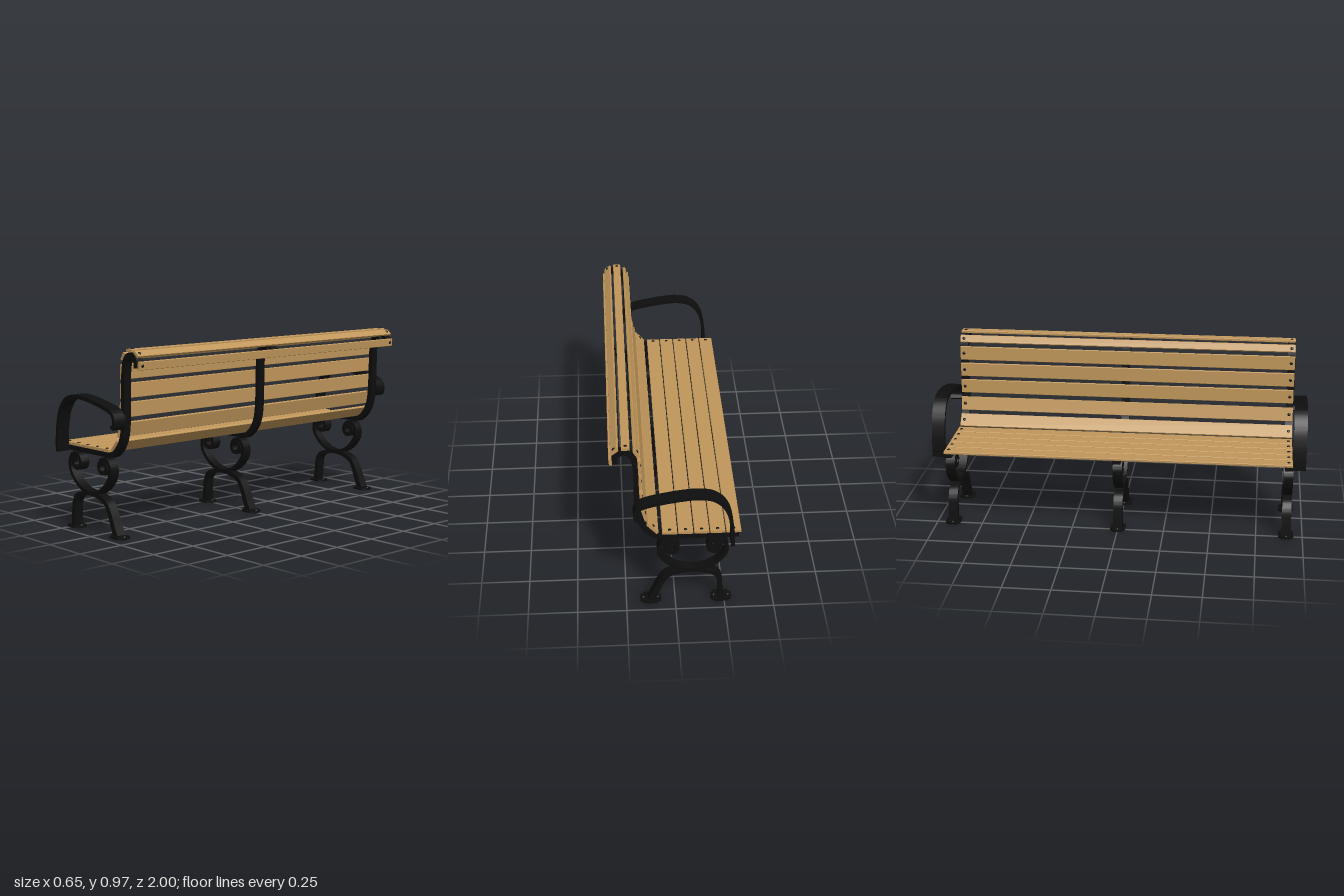
import * as THREE from 'three';
import { toCreasedNormals } from 'three/addons/utils/BufferGeometryUtils.js';

const wood = new THREE.MeshStandardMaterial({ color: 0xc0965a });
wood.name = 'wood';
const iron = new THREE.MeshStandardMaterial({ color: 0x0e0e0e });
iron.name = 'black iron';

// Shape extruded along z, centred on z = 0
function extrude(shape, depth) {
  const g = new THREE.ExtrudeGeometry(shape, { depth, bevelEnabled: false });
  g.translate(0, 0, -depth / 2);
  return toCreasedNormals(g, 0.6);
}

// Flat bar following a smooth path in the xy plane; thickness runs from t0 to t1
function ribbon(points, t0, t1, depth, steps = 60) {
  const curve = new THREE.CatmullRomCurve3(points.map(([x, y]) => new THREE.Vector3(x, y, 0)), false, 'centripetal');
  const left = [], right = [];
  for (let i = 0; i <= steps; i++) {
    const u = i / steps, p = curve.getPointAt(u), d = curve.getTangentAt(u);
    const h = (t0 + (t1 - t0) * u) / 2;
    left.push(new THREE.Vector2(p.x - d.y * h, p.y + d.x * h));
    right.unshift(new THREE.Vector2(p.x + d.y * h, p.y - d.x * h));
  }
  return extrude(new THREE.Shape([...left, ...right]), depth);
}

// Rectangle with cut corners
function chamferedRect(w, h, c) {
  const a = w / 2, b = h / 2;
  return new THREE.Shape([[-a + c, -b], [a - c, -b], [a, -b + c], [a, b - c], [a - c, b], [-a + c, b], [-a, b - c], [-a, -b + c]]
    .map(([x, y]) => new THREE.Vector2(x, y)));
}

function add(parent, name, geometry, material, x = 0, y = 0, z = 0) {
  const m = new THREE.Mesh(geometry, material);
  m.name = name;
  m.position.set(x, y, z);
  parent.add(m);
  return m;
}

// Seat and back rail paths
const backPath = [[0.02, 0.418], [0.085, 0.418], [0.125, 0.442], [0.157, 0.48], [0.178, 0.53], [0.188, 0.6], [0.192, 0.75],
  [0.197, 0.86], [0.212, 0.912], [0.242, 0.935], [0.275, 0.927], [0.291, 0.905], [0.292, 0.873]];
// Scroll from the crossing point outward and curling in, as offsets from the crossing
const scroll = [[0, 0.2], [0.07, 0.216], [0.13, 0.258], [0.166, 0.31], [0.165, 0.362], [0.135, 0.391], [0.098, 0.385],
  [0.077, 0.353], [0.09, 0.323], [0.12, 0.321], [0.139, 0.343], [0.132, 0.366], [0.106, 0.366]];
const midX = -0.087;
const frontLeg = [[midX, 0.2], [-0.15, 0.19], [-0.2, 0.172], [-0.222, 0.14], [-0.229, 0.09], [-0.234, 0.008]];
const rearLeg = [[midX, 0.2], [-0.02, 0.193], [0.045, 0.165], [0.075, 0.12], [0.1, 0.06], [0.123, 0.008]];
const armPath = [[-0.28, 0.4], [-0.279, 0.46], [-0.271, 0.54], [-0.253, 0.61], [-0.22, 0.662], [-0.175, 0.692], [-0.11, 0.703],
  [-0.02, 0.696], [0.08, 0.678], [0.15, 0.66], [0.185, 0.642], [0.2, 0.612], [0.199, 0.588], [0.189, 0.573], [0.178, 0.585]];

// Slats: centre x, centre y, tilt in degrees, width
const slats = [];
for (let i = 0; i < 5; i++) slats.push([-0.29 + i * 0.0797, 0.438, 0, 0.075]);
slats.push([0.114, 0.469, 48, 0.076], [0.155, 0.556, 75, 0.076], [0.169, 0.655, 88, 0.076], [0.173, 0.751, 90, 0.076],
  [0.176, 0.846, 88, 0.076], [0.19, 0.925, 60, 0.042], [0.24, 0.956, 0, 0.042], [0.293, 0.941, -38, 0.042], [0.314, 0.886, -95, 0.042]);

export function createModel() {
  const bench = new THREE.Group();
  bench.name = 'bench';

  const bolt = new THREE.SphereGeometry(0.009, 12, 6, 0, Math.PI * 2, 0, Math.PI / 2);
  const mirrored = scroll.map(([x, y]) => [midX - x, y]);
  const parts = {
    seatRail: extrude(chamferedRect(0.395, 0.025, 0.002), 0.042).translate(-0.118, 0.418, 0),
    backRail: ribbon(backPath, 0.025, 0.025, 0.042, 80),
    rearScroll: ribbon(scroll.map(([x, y]) => [midX + x, y]), 0.019, 0.022, 0.05, 80),
    frontScroll: ribbon(mirrored, 0.019, 0.022, 0.05, 80),
    frontLeg: ribbon(frontLeg, 0.019, 0.03, 0.05, 40),
    rearLeg: ribbon(rearLeg, 0.019, 0.036, 0.05, 40),
  };
  const foot = extrude(chamferedRect(0.106, 0.08, 0.022), 0.01).rotateX(-Math.PI / 2);

  // Three iron frames: both ends and the middle
  for (const z of [-0.912, 0, 0.912]) {
    const frame = new THREE.Group();
    frame.name = 'ironFrame';
    frame.position.z = z;
    for (const [name, g] of Object.entries(parts)) add(frame, name, g, iron);
    for (const x of [-0.234, 0.126]) {
      add(frame, 'foot', foot, iron, x, 0.005);
      for (const s of [-1, 1]) add(frame, 'footBolt', bolt, iron, x + s * 0.037, 0.009);
    }
    bench.add(frame);
  }

  // Armrests outside the end frames
  const arm = ribbon(armPath, 0.018, 0.02, 0.07, 90);
  for (const s of [-1, 1]) add(bench, 'armrest', arm, iron, 0, 0, s * 0.965);

  // Wooden slats with a bolt at each end
  for (const [x, y, tilt, width] of slats) {
    const slat = new THREE.Group();
    slat.name = 'slat';
    slat.position.set(x, y, 0);
    slat.rotation.z = THREE.MathUtils.degToRad(tilt);
    add(slat, 'slatBoard', extrude(chamferedRect(width, 0.014, 0.002), 1.86), wood);
    for (const s of [-1, 1]) add(slat, 'slatBolt', bolt, iron, 0, 0.0065, s * 0.91).scale.y = 0.5;
    bench.add(slat);
  }
  return bench;
}
